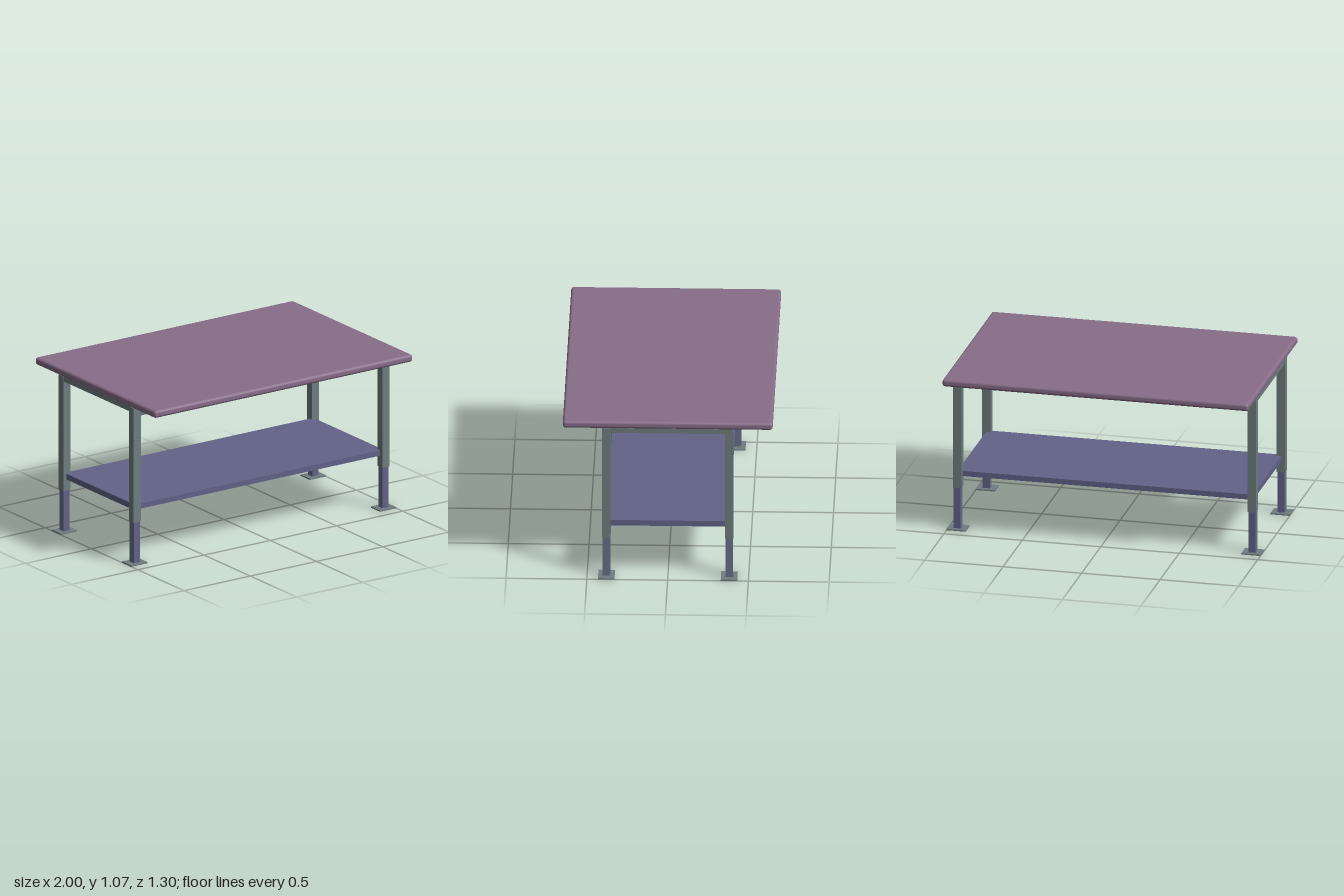
import * as THREE from 'three';
import { RoundedBoxGeometry } from 'three/addons/geometries/RoundedBoxGeometry.js';

function material(name, color) {
  const m = new THREE.MeshStandardMaterial({ color });
  m.name = name;
  return m;
}

export function createModel() {
  const mauve = material('mauve top', 0x886d89);
  const steel = material('grey steel', 0x6f7e7f);
  const indigo = material('indigo steel', 0x626388);
  const slate = material('slate steel', 0x66718a);
  const violet = material('violet underside', 0x640a7c);

  const table = new THREE.Group();
  table.name = 'workTable';

  // Box given by its lower and upper corners
  function box(name, mat, [x0, y0, z0], [x1, y1, z1], parent = table) {
    const mesh = new THREE.Mesh(new THREE.BoxGeometry(x1 - x0, y1 - y0, z1 - z0), mat);
    mesh.position.set((x0 + x1) / 2, (y0 + y1) / 2, (z0 + z1) / 2);
    mesh.name = name;
    parent.add(mesh);
    return mesh;
  }

  // Worktop with rounded edges
  const top = new THREE.Mesh(new RoundedBoxGeometry(1.95, 0.048, 1.3, 4, 0.018), mauve);
  top.position.y = 1.044;
  top.name = 'worktop';
  table.add(top);

  // Four telescopic legs with foot plates
  const innerFaces = [slate, slate, indigo, indigo, indigo, indigo];
  for (const sx of [-1, 1]) {
    for (const sz of [-1, 1]) {
      const leg = new THREE.Group();
      leg.name = 'leg';
      leg.position.set(sx * 0.939, 0, sz * 0.38);
      box('outerLeg', steel, [-0.027, 0.273, -0.026], [0.027, 1.02, 0.026], leg);
      box('innerLeg', innerFaces, [-0.023, 0.008, -0.023], [0.023, 0.273, 0.023], leg);
      box('footPlate', steel, [-0.061, 0, -0.051], [0.061, 0.008, 0.051], leg);
      table.add(leg);
    }
  }

  // Long rails under the worktop, with a slate outer face
  for (const s of [-1, 1]) {
    const rail = new THREE.Group();
    rail.name = 'longRail';
    if (s < 0) rail.rotation.y = Math.PI;
    box('railBody', steel, [-0.913, 0.963, 0.362], [0.913, 1.02, 0.4], rail);
    box('railFace', slate, [-0.913, 0.963, 0.4], [0.913, 1.02, 0.404], rail);
    table.add(rail);
  }

  // Short rails between the legs at each end
  for (const s of [-1, 1]) {
    const rail = box('shortRail', steel, [-0.022, 0.987, -0.355], [0.022, 1.02, 0.355]);
    rail.position.x = s * 0.94;
  }

  // Shelf: a sheet with folded-down lips and a violet underside
  box('shelfSheet', indigo, [-0.94, 0.37, -0.38], [0.94, 0.38, 0.38]);
  box('shelfUnderside', violet, [-0.928, 0.366, -0.368], [0.928, 0.37, 0.368]);
  for (const s of [-1, 1]) {
    const longLip = box('shelfLongLip', indigo, [-0.94, 0.346, -0.006], [0.94, 0.37, 0.006]);
    longLip.position.z = s * 0.374;
    const endLip = box('shelfEndLip', indigo, [-0.006, 0.343, -0.368], [0.006, 0.37, 0.368]);
    endLip.position.x = s * 0.934;
  }

  return table;
}
